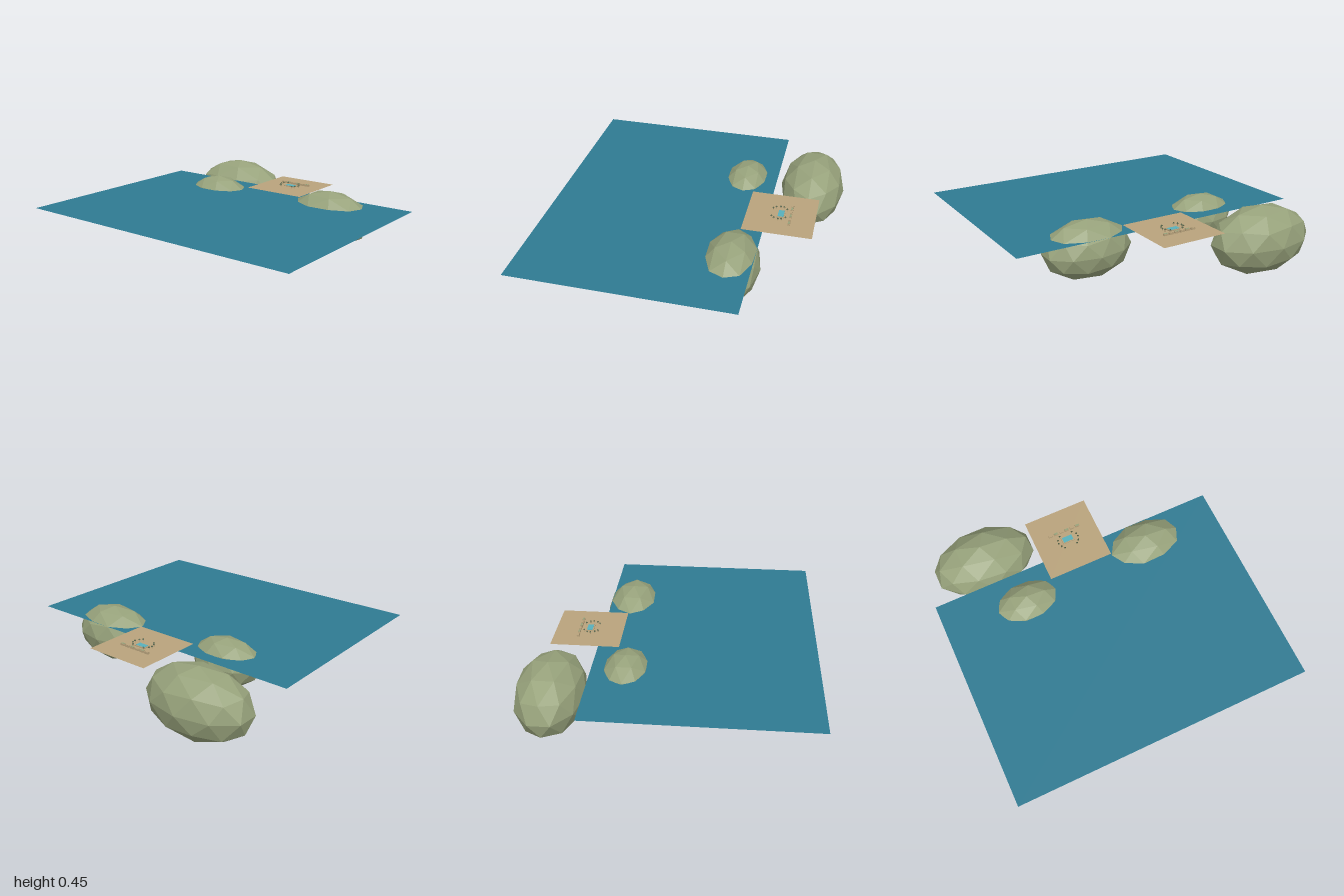
import * as THREE from 'three';

export function createModel() {
  const root = new THREE.Group();
  root.name = 'seasideTerrace';
  const mat = (name, color, extra = {}) => new THREE.MeshStandardMaterial({ name, color, ...extra });
  const water = mat('sea blue', 0x2f7a92, { side: THREE.DoubleSide });
  const sand = mat('sand', 0xb9a37c, { side: THREE.DoubleSide });
  const rock = mat('mossy rock', 0x97a27b);
  const leaf = mat('dark foliage', 0x4a5a40);
  const pool = mat('pool blue', 0x58b0bb);

  const add = (parent, name, geometry, material, x, y, z) => {
    const m = new THREE.Mesh(geometry, material);
    m.name = name;
    m.position.set(x, y, z);
    parent.add(m);
    return m;
  };

  // Flat sheets: the sea and the sandy terrace just above it
  const sheet = (w, d) => new THREE.PlaneGeometry(w, d).rotateX(-Math.PI / 2);
  add(root, 'sea', sheet(2, 1.417), water, 0, 0.351, 0.2295);
  add(root, 'terrace', sheet(0.446, 0.452), sand, 0, 0.355, -0.567);

  // Faceted boulders with a vertex at each pole
  const boulder = (name, x, y, z, rx, ry, rz) => {
    const g = new THREE.IcosahedronGeometry(1, 1)
      .rotateX(-Math.atan((1 + Math.sqrt(5)) / 2))
      .rotateY(Math.PI / 2)
      .scale(rx, ry, rz);
    g.computeVertexNormals();
    add(root, name, g, rock, x, y, z);
  };
  boulder('largeBoulder', -0.576, 0.228, -0.717, 0.361, 0.223, 0.222);
  boulder('smallBoulder', -0.428, 0.276, -0.267, 0.239, 0.153, 0.157);
  boulder('leftBoulder', 0.472, 0.251, -0.33, 0.297, 0.187, 0.186);

  const resort = new THREE.Group();
  resort.name = 'resort';
  resort.position.set(0, 0.355, -0.567);
  root.add(resort);

  // Row of tiny cabins along the back
  for (let i = 0; i < 6; i++) {
    const x = (i - 2.5) * 0.04;
    add(resort, 'cabin', new THREE.BoxGeometry(0.03, 0.012, 0.016), sand, x, 0.006, -0.064);
    add(resort, 'cabinRoof', new THREE.BoxGeometry(0.026, 0.002, 0.012), i % 2 ? rock : sand, x, 0.013, -0.064);
  }

  // Pool with a raised rim
  add(resort, 'poolRim', new THREE.BoxGeometry(0.084, 0.006, 0.052), sand, 0, 0.003, 0);
  add(resort, 'poolWater', new THREE.BoxGeometry(0.07, 0.002, 0.038), pool, 0, 0.0065, 0);

  // Small shrubs and posts around the pool
  const spots = [[0.045, -0.034], [0.068, -0.01], [0.072, 0.012], [0.062, 0.04], [0.045, 0.058]];
  for (const side of [-1, 1]) {
    for (const [x, z] of spots) {
      add(resort, 'post', new THREE.CylinderGeometry(0.002, 0.002, 0.014, 6), sand, side * x, 0.007, z);
      add(resort, 'shrub', new THREE.ConeGeometry(0.007, 0.01, 6), leaf, side * x, 0.017, z);
    }
  }
  return root;
}
